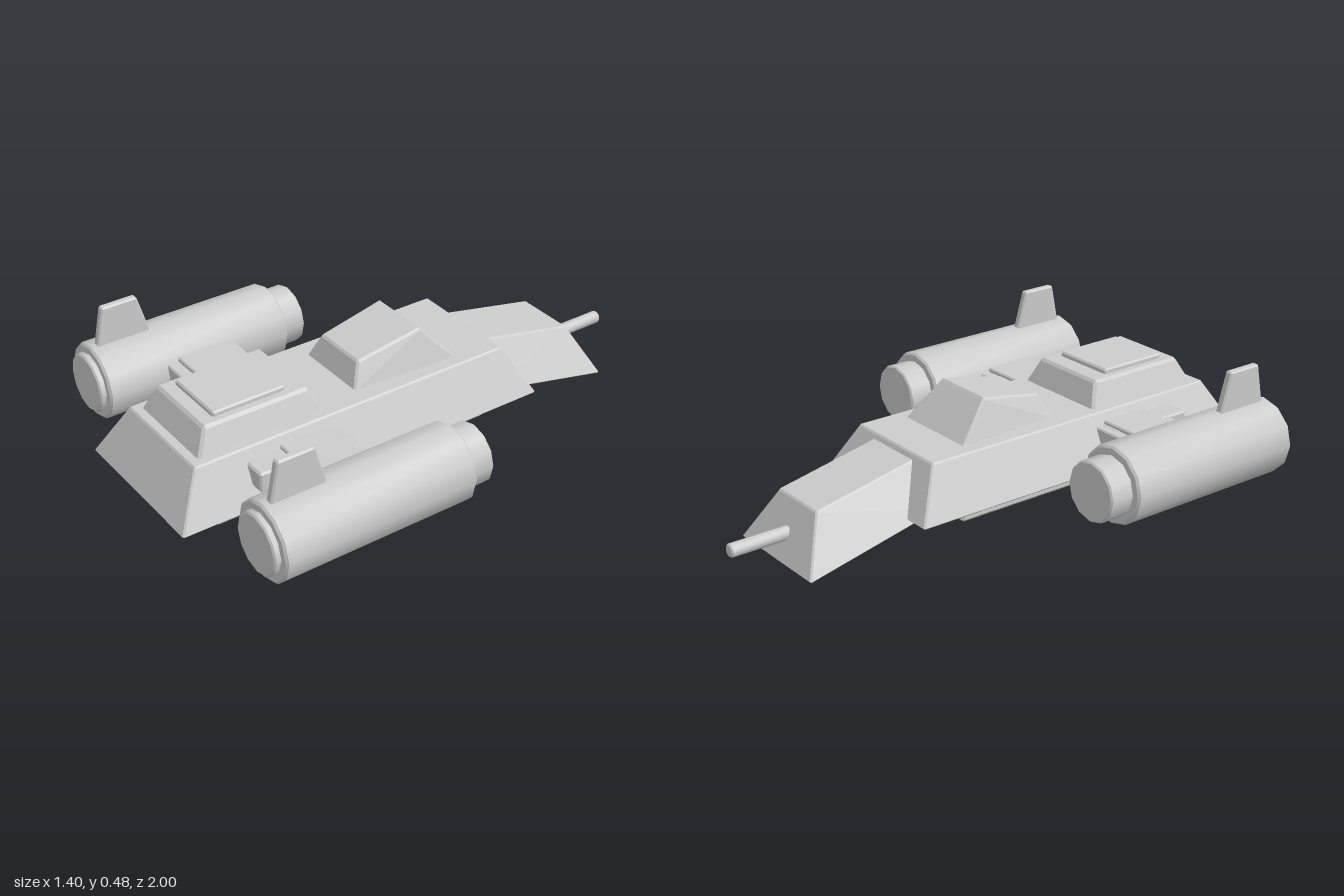
import * as THREE from 'three';
import { toCreasedNormals } from 'three/addons/utils/BufferGeometryUtils.js';
import { ConvexGeometry } from 'three/addons/geometries/ConvexGeometry.js';

const grey = new THREE.MeshStandardMaterial({ color: 0xcccccc });
grey.name = 'hull grey';

// Chamfered convex block, symmetric in x; each edge is [halfWidth, y, z]
function block(edges, b = 0.008) {
  const cy = edges.reduce((a, e) => a + e[1], 0) / edges.length;
  const cz = edges.reduce((a, e) => a + e[2], 0) / edges.length;
  const pts = [];
  for (const [w, y, z] of edges) {
    const sy = Math.sign(y - cy) * b, sz = Math.sign(z - cz) * b;
    for (const s of [-1, 1]) {
      const xi = s * (w - b), yi = y - sy, zi = z - sz;
      pts.push(new THREE.Vector3(s * w, yi, zi));
      pts.push(new THREE.Vector3(xi, y, zi));
      pts.push(new THREE.Vector3(xi, yi, z));
    }
  }
  return new ConvexGeometry(pts);
}

const box = (w, y0, y1, z0, z1, b) =>
  block([[w, y0, z0], [w, y0, z1], [w, y1, z0], [w, y1, z1]], b);

// Chamfered cylinder lying along z
function barrel(r, z0, z1, sides, b = 0.008) {
  const profile = [[0, z0], [r - b, z0], [r, z0 + b], [r, z1 - b], [r - b, z1], [0, z1]]
    .map(([x, y]) => new THREE.Vector2(x, y));
  const g = new THREE.LatheGeometry(profile, sides);
  g.rotateX(Math.PI / 2);
  return toCreasedNormals(g, 0.65);
}

export function createModel() {
  const model = new THREE.Group();
  model.name = 'spacecraft';

  const add = (parent, name, geometry, x = 0, y = 0) => {
    const mesh = new THREE.Mesh(geometry, grey);
    mesh.name = name;
    mesh.position.set(x, y, 0);
    parent.add(mesh);
  };

  // Hull with sloping sides, and the drooping section behind it
  add(model, 'mainHull', block([
    [0.3, 0.105, 1], [0.3, 0.105, -0.44], [0.217, 0.29, 0.9], [0.217, 0.29, -0.345],
  ], 0.006));
  add(model, 'droopSection', block([
    [0.215, 0.115, -0.3], [0.215, 0, -0.83], [0.117, 0.28, -0.3], [0.117, 0.192, -0.738],
  ], 0.006));
  add(model, 'gunBarrel', barrel(0.024, -1, -0.74, 12, 0.005), 0, 0.086);

  // Underside plates
  add(model, 'bellyPlate', box(0.25, 0.055, 0.11, -0.245, 0.85, 0.01));
  add(model, 'chinPanel', box(0.055, 0.034, 0.1, -0.66, -0.44, 0.006));

  // Canopy, widest and tallest at its far end
  add(model, 'canopy', block([
    [0.145, 0.28, 0.235], [0.168, 0.28, -0.178], [0.112, 0.376, 0.2], [0.122, 0.423, -0.062],
  ]));

  // Raised deck with its hatch
  add(model, 'raisedDeck', block([
    [0.188, 0.28, 0.865], [0.188, 0.28, 0.385], [0.155, 0.38, 0.825], [0.155, 0.38, 0.42],
  ], 0.01));
  add(model, 'deckHatch', box(0.122, 0.36, 0.398, 0.495, 0.77, 0.006));

  // Engine pods with pylons and fins
  for (const s of [1, -1]) {
    const pod = new THREE.Group();
    pod.name = s > 0 ? 'leftEngine' : 'rightEngine';
    model.add(pod);
    const cx = s * 0.557;
    add(pod, 'engineCasing', barrel(0.141, 0.14, 0.867, 12), cx, 0.2);
    add(pod, 'engineCore', barrel(0.109, 0.048, 0.89, 12, 0.006), cx, 0.2);
    add(pod, 'fin', block([
      [0.015, 0.31, 0.843], [0.015, 0.31, 0.627], [0.015, 0.48, 0.81], [0.015, 0.48, 0.672],
    ], 0.006), cx);
    add(pod, 'upperPylon', box(0.11, 0.238, 0.26, 0.4, 0.59, 0.005), s * 0.335);
    add(pod, 'lowerPylon', box(0.11, 0.185, 0.245, 0.36, 0.635, 0.005), s * 0.33);
    add(pod, 'pylonMount', box(0.07, 0.172, 0.247, 0.385, 0.72, 0.007), s * 0.247);
  }
  return model;
}
